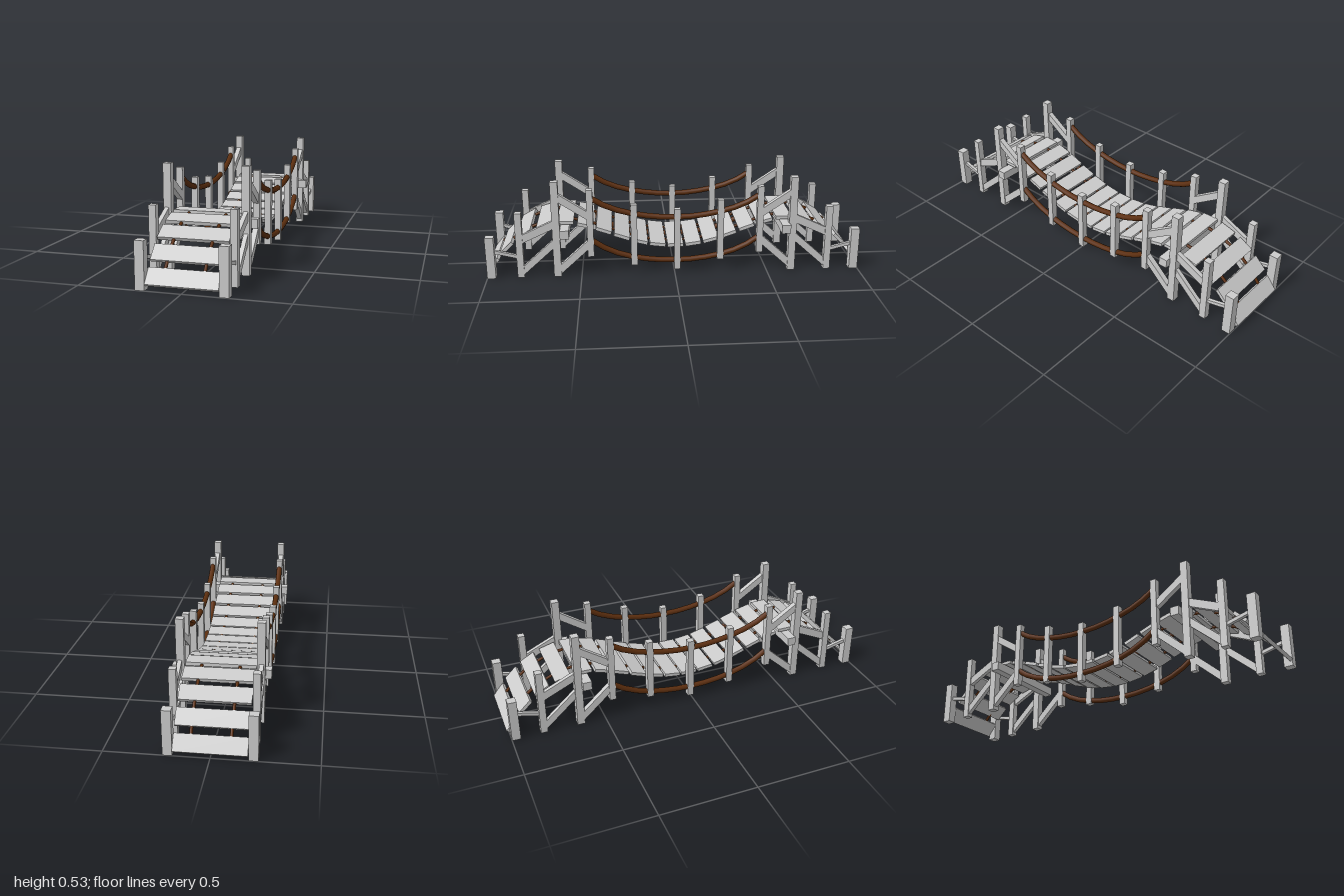
import * as THREE from 'three';

const wood = new THREE.MeshStandardMaterial({ color: 0xcccccc, flatShading: true });
const ropeMaterial = new THREE.MeshStandardMaterial({ color: 0x5c2e0e });
const SIDE = 0.2; // x of the post and rope rows
const SHIFT = -0.006; // the inner parts sit slightly towards the back

export function createModel() {
  const model = new THREE.Group();

  const box = (name, sx, sy, sz, x, y, z, tilt = 0) => {
    const mesh = new THREE.Mesh(new THREE.BoxGeometry(sx, sy, sz), wood);
    mesh.name = name;
    mesh.position.set(x, y, z);
    mesh.rotation.x = tilt;
    model.add(mesh);
  };

  // Slanted bar between two (z, y) points
  const bar = (name, x, width, height, [z0, y0], [z1, y1]) => {
    const dz = z1 - z0, dy = y1 - y0;
    box(name, width, height, Math.hypot(dz, dy), x, (y0 + y1) / 2, (z0 + z1) / 2, -Math.atan2(dy, dz));
  };

  const rope = (name, x, radius, points, segments) => {
    const curve = new THREE.CatmullRomCurve3(points.map(([z, y]) => new THREE.Vector3(x, y, z)));
    const mesh = new THREE.Mesh(new THREE.TubeGeometry(curve, segments, radius, 10), ropeMaterial);
    mesh.name = name;
    model.add(mesh);
    // Closed rope ends
    for (const t of [0, 1]) {
      const cap = new THREE.Mesh(new THREE.CircleGeometry(radius, 10), ropeMaterial);
      const p = curve.getPoint(t);
      cap.name = name + 'End';
      cap.position.copy(p);
      cap.lookAt(p.clone().addScaledVector(curve.getTangent(t), t ? 1 : -1));
      model.add(cap);
    }
  };

  // Full-length profile from its half: z, y from the middle outwards
  const mirrored = (half) => [
    ...half.slice(1).reverse().map(([z, y]) => [SHIFT - z, y]),
    ...half.map(([z, y]) => [SHIFT + z, y]),
  ];

  // Deck planks follow the sagging span and the steep ramps
  const deck = mirrored([
    [0, 0.145], [0.096, 0.151], [0.192, 0.17], [0.288, 0.201], [0.384, 0.237], [0.482, 0.269],
    [0.584, 0.288], [0.695, 0.271], [0.805, 0.226], [0.9, 0.152], [0.976, 0.06],
  ]);
  deck.forEach(([z, y], i) => {
    const a = deck[Math.max(i - 1, 0)], b = deck[Math.min(i + 1, deck.length - 1)];
    const tilt = -Math.atan2(b[1] - a[1], b[0] - a[0]);
    box('plank', 0.345, 0.018, 0.086, 0, y, z, tilt);
  });

  // Posts: z, bottom, top, width, x of centre
  const posts = [
    [0.977, 0, 0.23, 0.046, 0.197], [0.822, 0, 0.36, 0.036, 0.195], [0.627, 0, 0.527, 0.04, 0.195],
    [0.447, 0.11, 0.48, 0.034, SIDE], [0.217, 0.055, 0.395, 0.034, SIDE], [-0.013, 0.025, 0.365, 0.034, SIDE],
    [-0.244, 0.075, 0.412, 0.034, SIDE], [-0.455, 0.11, 0.48, 0.034, SIDE], [-0.633, 0, 0.527, 0.04, 0.195],
    [-0.83, 0, 0.36, 0.036, 0.195], [-0.977, 0, 0.23, 0.046, 0.197],
  ];

  const upperRope = mirrored([[0, 0.318], [0.1, 0.322], [0.24, 0.345], [0.36, 0.383], [0.45, 0.435]]);
  const lowerRope = mirrored([[0, 0.073], [0.1, 0.077], [0.24, 0.1], [0.36, 0.142], [0.45, 0.2]]);

  for (const side of [-1, 1]) {
    for (const [z, bottom, top, width, x] of posts) {
      const name = bottom ? 'hangingPost' : 'standingPost';
      box(name, width, top - bottom, width, side * x, (top + bottom) / 2, z);
    }

    rope('handRope', side * SIDE, 0.015, upperRope, 12);
    rope('lowerRope', side * SIDE, 0.015, lowerRope, 12);
    rope('deckRope', side * 0.093, 0.008, deck.slice(), 48);

    // Ramp rails and diagonal braces at both ends
    for (const end of [-1, 1]) {
      const at = (z, y) => [end * z + SHIFT, y];
      const x = side * 0.197;
      bar('rampRail', x, 0.018, 0.018, at(0.98, 0.15), at(0.828, 0.112));
      bar('rampHandrail', x, 0.022, 0.042, at(0.828, 0.208), at(0.633, 0.298));
      bar('lowerRampBrace', x, 0.022, 0.036, at(0.828, 0.022), at(0.633, 0.198));
      bar('upperBrace', x, 0.028, 0.038, at(0.633, 0.45), at(0.451, 0.328));
      bar('lowerBrace', x, 0.028, 0.038, at(0.633, 0.022), at(0.451, 0.188));
    }
  }

  // Cross beams carrying the deck at its high points
  for (const end of [-1, 1]) box('crossBeam', 0.488, 0.047, 0.047, 0, 0.246, end * 0.588 + SHIFT);

  return model;
}
